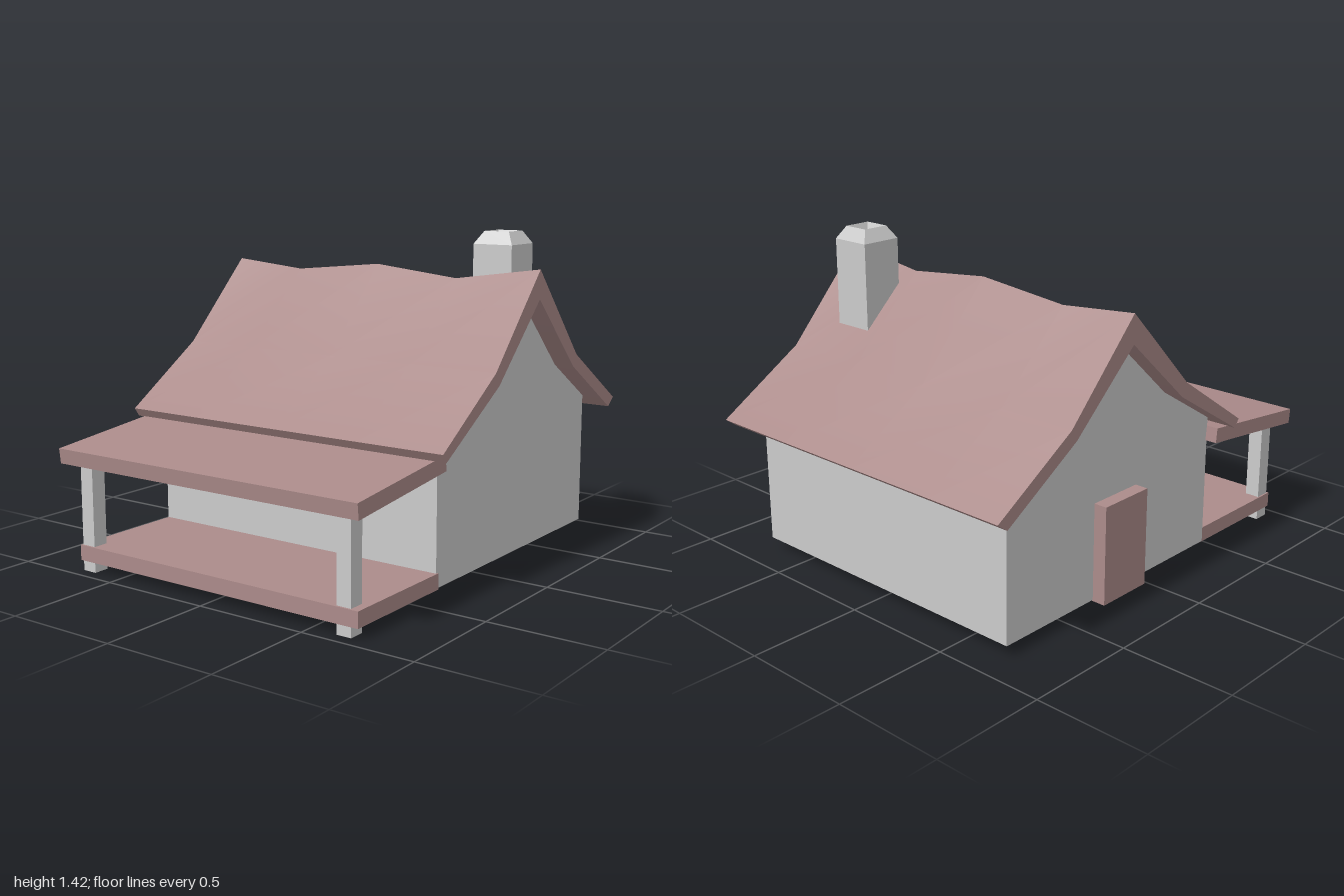
import * as THREE from 'three';
import { toCreasedNormals } from 'three/addons/utils/BufferGeometryUtils.js';

const grey = new THREE.MeshStandardMaterial({ color: 0xcccccc });
const wallMat = new THREE.MeshStandardMaterial({ color: 0xcccccc, side: THREE.DoubleSide });
const wood = new THREE.MeshStandardMaterial({ color: 0xab8b8a });

function add(parent, name, geometry, material) {
  const mesh = new THREE.Mesh(geometry, material);
  mesh.name = name;
  parent.add(mesh);
  return mesh;
}

// Box given by its extents on each axis
function block(parent, name, material, [x0, x1], [y0, y1], [z0, z1]) {
  const geo = new THREE.BoxGeometry(x1 - x0, y1 - y0, z1 - z0);
  geo.translate((x0 + x1) / 2, (y0 + y1) / 2, (z0 + z1) / 2);
  return add(parent, name, geo, material);
}

// Curved gable roof with a wavy ridge, built from cross-sections along x
function roofGeometry() {
  // [z, y, share of ridge sag]: top from front to back, underside back again
  const section = [
    [0.515, 0.625, 0], [0.12, 0.885, 0], [-0.24, 1.275, 1], [-0.6, 0.875, 0], [-1, 0.625, 0],
    [-0.95, 0.588, 0], [-0.57, 0.825, 0], [-0.24, 1.15, 1], [0.09, 0.83, 0], [0.49, 0.588, 0],
  ];
  const stations = [[-0.81, -0.025], [-0.45, -0.058], [-0.01, -0.015], [0.4, -0.058], [0.81, 0]];
  const n = section.length;
  const positions = [];
  const index = [];
  for (const [x, sag] of stations) {
    for (const [z, y, share] of section) positions.push(x, y + sag * share, z);
  }
  const quad = (a, b, c, d) => index.push(a, b, c, a, c, d);
  for (let i = 0; i < stations.length - 1; i++) {
    for (let j = 0; j < n; j++) {
      const k = (j + 1) % n;
      quad(i * n + j, (i + 1) * n + j, (i + 1) * n + k, i * n + k);
    }
  }
  // gable ends
  const end = (stations.length - 1) * n;
  for (let j = 0; j < 4; j++) {
    quad(j, j + 1, 8 - j, 9 - j);
    quad(end + 9 - j, end + 8 - j, end + j + 1, end + j);
  }
  const geo = new THREE.BufferGeometry();
  geo.setAttribute('position', new THREE.Float32BufferAttribute(positions, 3));
  geo.setIndex(index);
  return toCreasedNormals(geo, 0.6);
}

// Square chimney with a bevelled cap and a funnel-shaped flue
function chimneyGeometry() {
  const r = Math.SQRT2;
  const profile = [[0, 0.95], [0.094, 0.95], [0.094, 1.365], [0.06, 1.42], [0.033, 1.36], [0, 1.36]]
    .map(([w, y]) => new THREE.Vector2(w * r, y));
  const geo = new THREE.LatheGeometry(profile, 4, Math.PI / 4);
  geo.translate(0.547, 0, -0.39);
  return toCreasedNormals(geo, 0.1);
}

export function createModel() {
  const house = new THREE.Group();
  house.name = 'house';

  // Thin walls, open underneath
  const walls = new THREE.Group();
  walls.name = 'walls';
  house.add(walls);
  const gable = new THREE.Shape([
    [-0.41, 0.05], [0.86, 0.05], [0.86, 0.645], [0.57, 0.83], [0.24, 1.15], [-0.1, 0.83], [-0.41, 0.642],
  ].map(([x, y]) => new THREE.Vector2(x, y)));
  for (const [name, x] of [['leftGableWall', 0.72], ['rightGableWall', -0.72]]) {
    const geo = new THREE.ShapeGeometry(gable);
    geo.rotateY(Math.PI / 2);
    add(walls, name, geo, wallMat).position.x = x;
  }
  for (const [name, z, turn] of [['frontWall', 0.41, 0], ['backWall', -0.86, Math.PI]]) {
    const wall = add(walls, name, new THREE.PlaneGeometry(1.44, 0.595), wallMat);
    wall.position.set(0, 0.3475, z);
    wall.rotation.y = turn;
  }

  add(house, 'mainRoof', roofGeometry(), wood);
  add(house, 'chimney', chimneyGeometry(), grey);
  block(house, 'door', wood, [-0.78, -0.7], [0.045, 0.475], [-0.35, -0.085]);

  // Porch: deck, posts and a sloping roof
  const porch = new THREE.Group();
  porch.name = 'porch';
  house.add(porch);
  block(porch, 'deck', wood, [-0.717, 0.725], [0.046, 0.113], [0.4, 0.952]);
  block(porch, 'rightPost', grey, [-0.71, -0.643], [0, 0.5], [0.873, 0.943]);
  block(porch, 'leftPost', grey, [0.622, 0.688], [0, 0.5], [0.873, 0.943]);
  const porchRoof = add(porch, 'porchRoof', new THREE.BoxGeometry(1.532, 0.066, 0.595), wood);
  porchRoof.position.set(-0.009, 0.533, 0.701);
  porchRoof.rotation.x = 0.11;

  return house;
}
